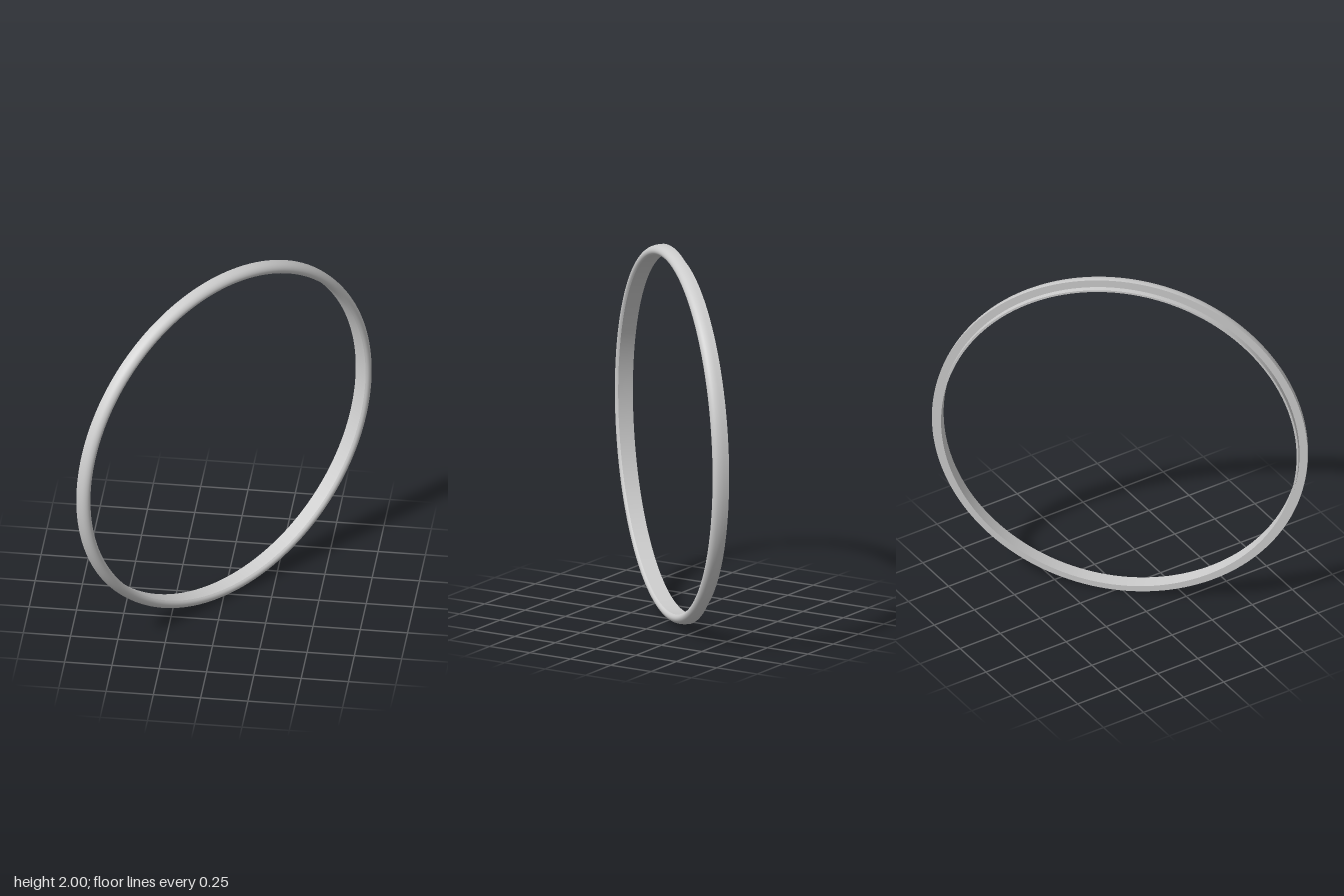
import * as THREE from 'three';
import { mergeGeometries } from 'three/addons/utils/BufferGeometryUtils.js';

const SEGMENTS = 160;

// Revolve each profile run on its own, so shading is smooth inside a run
// and sharp where two runs meet. Points are [radius, height along axis].
function revolve(name, runs, material) {
  const parts = runs.map((run) =>
    new THREE.LatheGeometry(run.map(([r, h]) => new THREE.Vector2(r, h)), SEGMENTS));
  const mesh = new THREE.Mesh(mergeGeometries(parts), material);
  mesh.geometry.rotateX(Math.PI / 2); // axis now points along +z
  mesh.name = name;
  return mesh;
}

export function createModel() {
  const material = new THREE.MeshStandardMaterial({ color: 0xcccccc });

  const inner = 0.946, lip = 0.957, outer = 1;
  const back = -0.05, ledge = -0.021, front = 0.03;

  // Rounded crown from the outer edge over the front to the inner edge
  const crown = new THREE.SplineCurve([
    [outer, ledge], [0.999, 0], [0.993, 0.022], [0.982, 0.036],
    [0.968, 0.042], [0.955, 0.039], [inner, front],
  ].map(([r, h]) => new THREE.Vector2(r, h))).getPoints(18).map((p) => [p.x, p.y]);

  const ring = new THREE.Group();
  ring.name = 'ring';
  ring.add(
    // Wide domed band with a flat ledge behind it
    revolve('rim', [
      [[lip, ledge], [outer, ledge]],
      crown,
      [[inner, front], [inner, ledge]],
    ], material),
    // Thin stepped collar at the back
    revolve('backLip', [
      [[inner, ledge], [inner, back]],
      [[inner, back], [lip, back]],
      [[lip, back], [lip, ledge]],
    ], material),
  );

  // Stand the ring upright, turned toward the front left
  ring.rotation.y = 0.828;
  ring.position.y = 1;

  const model = new THREE.Group();
  model.name = 'model';
  model.add(ring);
  return model;
}
